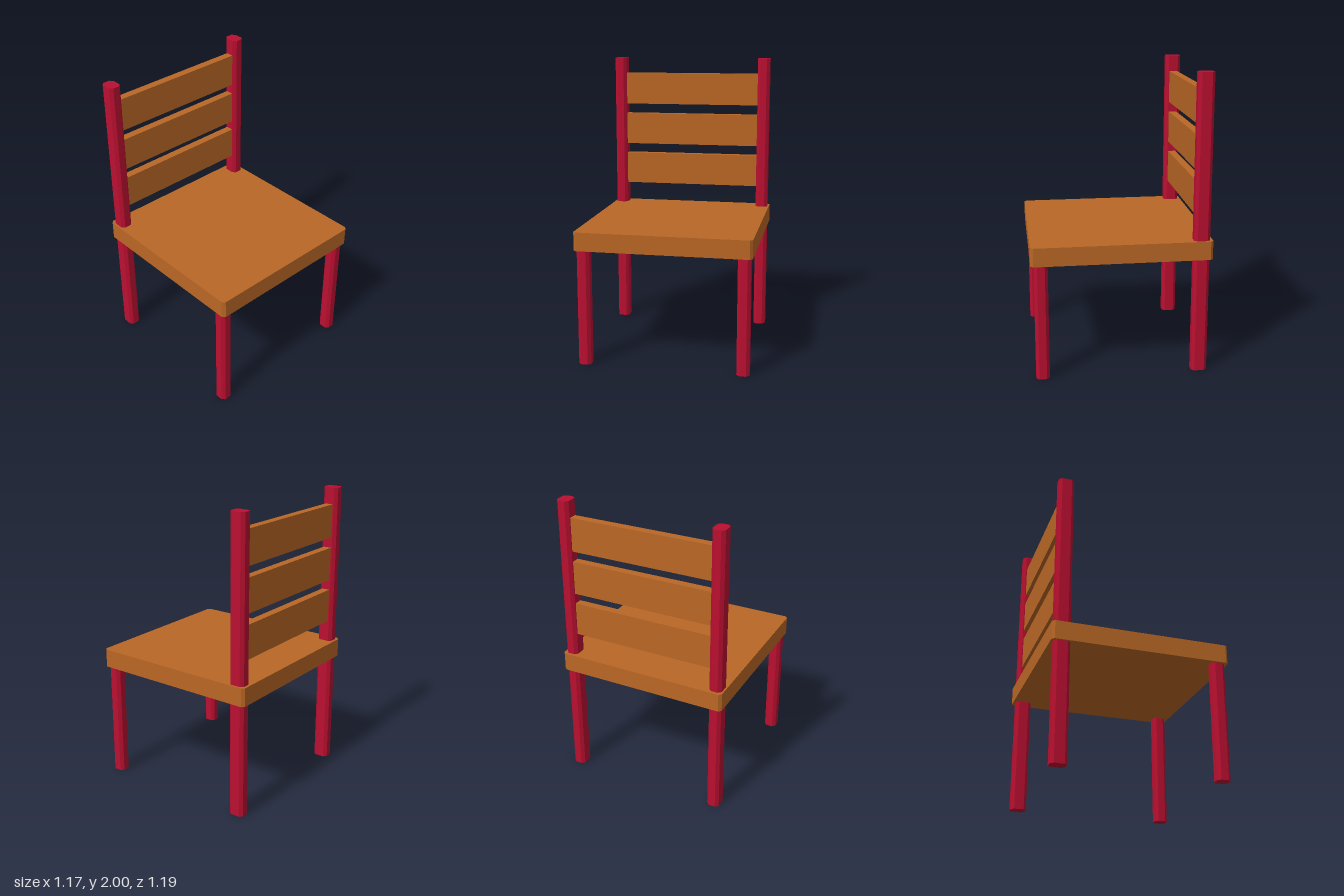
import * as THREE from 'three';

const RED = new THREE.MeshStandardMaterial({ color: 0xba0f30, flatShading: true });
const WOOD = new THREE.MeshStandardMaterial({ color: 0xba6725, flatShading: true });

// Upright block with its four vertical edges chamfered by c, standing on y = 0
function chamferedBlock(w, h, d, c) {
  const x = w / 2, z = d / 2;
  const outline = new THREE.Shape([
    [x - c, -z], [x, -z + c], [x, z - c], [x - c, z],
    [-x + c, z], [-x, z - c], [-x, -z + c], [-x + c, -z],
  ].map(([a, b]) => new THREE.Vector2(a, b)));
  const geometry = new THREE.ExtrudeGeometry(outline, { depth: h, bevelEnabled: false });
  return geometry.rotateX(-Math.PI / 2);
}

export function createModel() {
  const chair = new THREE.Group();
  chair.name = 'chair';

  function add(name, geometry, material, x, y, z) {
    const mesh = new THREE.Mesh(geometry, material);
    mesh.name = name;
    mesh.position.set(x, y, z);
    chair.add(mesh);
  }

  // Seat slab
  add('seat', chamferedBlock(1.174, 0.125, 1.186, 0.018), WOOD, 0, 0.788, 0);

  // Back posts run from floor to top; front legs stop at the seat
  const post = chamferedBlock(0.085, 2, 0.106, 0.02);
  const leg = chamferedBlock(0.085, 0.788, 0.09, 0.02);
  for (const [side, x] of [['left', 0.532], ['right', -0.532]]) {
    add(side + 'BackPost', post, RED, x, 0, -0.521);
    add(side + 'FrontLeg', leg, RED, x, 0, 0.527);
  }

  // Three back slats between the posts
  const slat = new THREE.BoxGeometry(0.99, 0.228, 0.055);
  for (let i = 0; i < 3; i++) {
    add('backSlat' + (i + 1), slat, WOOD, 0, 1.176 + i * 0.299, -0.52);
  }

  return chair;
}
